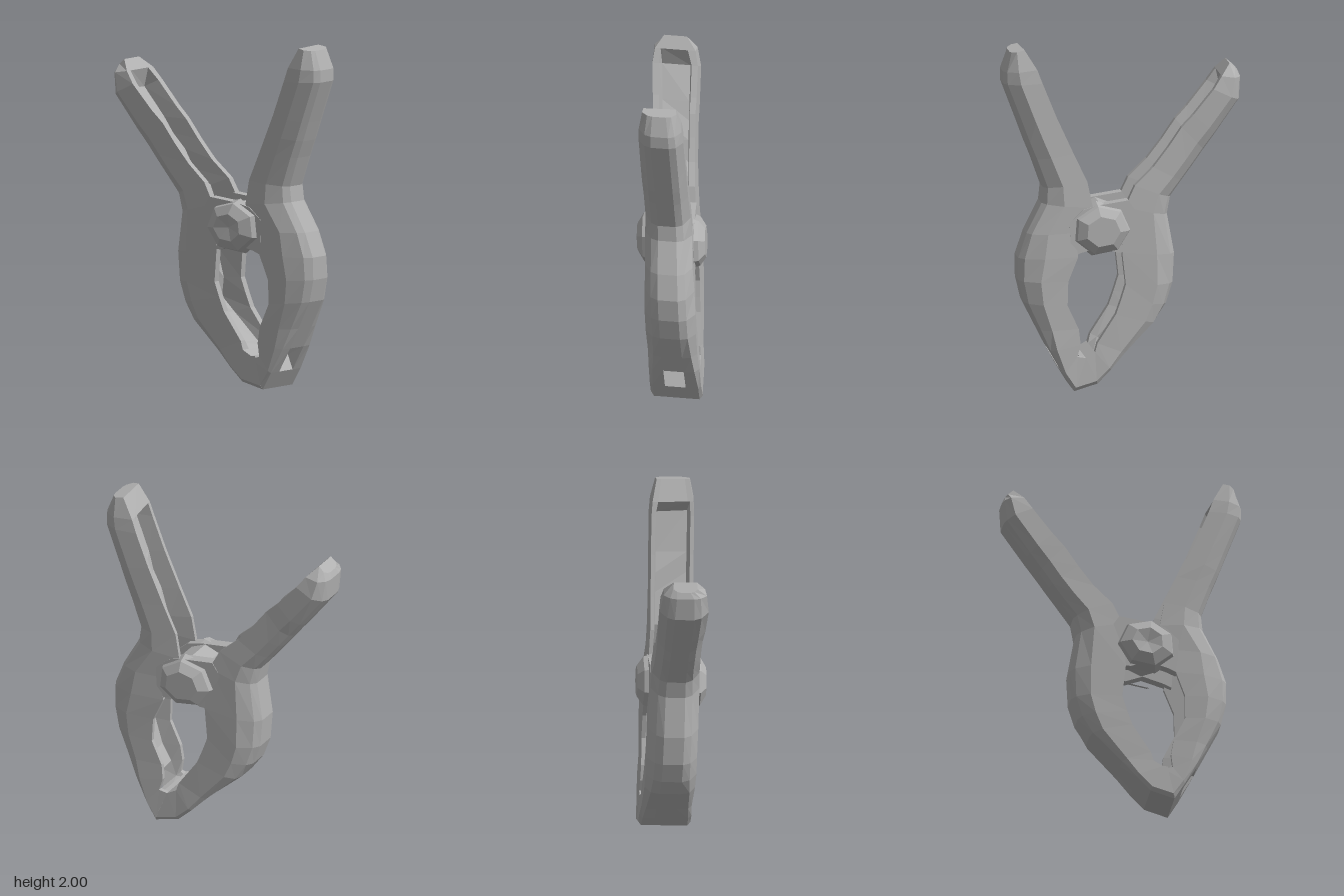
import * as THREE from 'three';

const grey = new THREE.MeshStandardMaterial({ color: 0xb0b0b0 });
grey.name = 'grey plastic';

// The whole clamp leans slightly: depth centre shifts with x and y.
const lean = (x, y) => -0.046 - 0.097 * x + 0.04 * y;

// Shears a geometry into the lean and gives it faceted normals.
function finish(geometry, name) {
  const g = geometry.index ? geometry.toNonIndexed() : geometry;
  const p = g.attributes.position;
  for (let i = 0; i < p.count; i++) p.setZ(i, p.getZ(i) + lean(p.getX(i), p.getY(i)));
  g.computeVertexNormals();
  const mesh = new THREE.Mesh(g, grey);
  mesh.name = name;
  return mesh;
}

// Seeded unevenness for the moulded faces and the channel floor.
let seed = 7;
const rough = () => ((seed = (seed * 16807) % 2147483647) / 2147483647 - 0.5);

// U-shaped section from the outer edge to the inner rim; floor = 1 closes the channel.
// The outer corners are rounded, turning square towards the jaw tip.
function section([ox, oy, ix, iy, w, floor], { edge, rim, lip }) {
  const square = THREE.MathUtils.clamp((0.5 - oy) / 0.4, 0, 1);
  const mix = (a, b) => a + (b - a) * square;
  const side = (front) => {
    const top = front ? lip : 1;
    const depth = floor < 1 ? floor + rough() * 0.2 : 1;
    return [[0, 0.4], [mix(0.09, 0), mix(0.7, 0.88)], [mix(edge, 0.12), 1 + rough() * 0.04],
      [top, 0.94], [top, rim], [top * depth, rim - 0.1]];
  };
  const loop = [...side(true), ...side(false).map(([u, v]) => [u, -v]).reverse()];
  return loop.map(([u, v]) => [ox + (ix - ox) * u, oy + (iy - oy) * u, v * w]);
}

// Lofts the stations from handle tip to jaw tip; holeAt cuts a slot through one segment.
function arm(stations, style, flip, name, holeAt = -1) {
  const rings = stations.map((s) => section(s, style));
  const n = rings[0].length;
  const pos = [];
  const tri = (a, b, c) => pos.push(...a, ...(flip ? c : b), ...(flip ? b : c));
  const quad = (a, b, c, d) => { tri(a, b, c); tri(a, c, d); };
  for (let s = 0; s < rings.length - 1; s++) {
    const [p, q] = [rings[s], rings[s + 1]];
    for (let k = 0; k < n; k++) {
      const m = (k + 1) % n;
      if (s === holeAt && (k === 5 || k === 11)) continue;
      quad(p[k], q[k], q[m], p[m]);
    }
    if (s === holeAt) {
      // slot walls between the outer face and the channel floor
      quad(p[0], p[5], q[5], q[0]);
      quad(p[11], q[11], q[6], p[6]);
      quad(p[0], p[11], p[6], p[5]);
      quad(q[0], q[5], q[6], q[11]);
    }
  }
  // end caps
  const [first, last] = [rings[0], rings[rings.length - 1]];
  for (let k = 1; k < n - 1; k++) {
    tri(first[0], first[k], first[k + 1]);
    tri(last[0], last[k + 1], last[k]);
  }
  const g = new THREE.BufferGeometry();
  g.setAttribute('position', new THREE.Float32BufferAttribute(pos, 3));
  return finish(g, name);
}

export function createModel() {
  const model = new THREE.Group();
  model.name = 'springClamp';

  // Stations: outer x, y, inner x, y, half width, channel floor
  model.add(arm([
    [-0.685, 1.785, -0.635, 1.83, 0.07, 1],
    [-0.70, 1.75, -0.58, 1.77, 0.125, 1],
    [-0.69, 1.62, -0.53, 1.70, 0.14, 0.5],
    [-0.55, 1.43, -0.41, 1.56, 0.135, 0.45],
    [-0.48, 1.34, -0.34, 1.49, 0.13, 0.45],
    [-0.42, 1.26, -0.26, 1.38, 0.13, 0.45],
    [-0.35, 1.17, -0.17, 1.27, 0.13, 0.45],
    [-0.28, 1.08, -0.06, 1.17, 0.135, 0.45],
    [-0.26, 0.98, 0.0, 1.05, 0.14, 0.5],
    [-0.30, 0.75, 0.02, 0.79, 0.145, 0.55],
    [-0.29, 0.58, 0.0, 0.60, 0.145, 0.55],
    [-0.25, 0.46, 0.03, 0.51, 0.145, 0.55],
    [-0.18, 0.36, 0.06, 0.43, 0.145, 0.6],
    [0.0, 0.20, 0.17, 0.27, 0.145, 0.7],
    [0.09, 0.11, 0.185, 0.22, 0.148, 1],
    [0.17, 0.035, 0.24, 0.19, 0.15, 1],
    [0.31, 0.0, 0.27, 0.19, 0.15, 1],
  ], { edge: 0.36, rim: 0.68, lip: 1 }, false, 'rightArm'));

  model.add(arm([
    [0.66, 1.98, 0.58, 1.995, 0.1, 1],
    [0.70, 1.87, 0.51, 1.88, 0.125, 1],
    [0.70, 1.80, 0.48, 1.80, 0.13, 0.5],
    [0.61, 1.56, 0.40, 1.60, 0.13, 0.45],
    [0.57, 1.45, 0.35, 1.49, 0.13, 0.45],
    [0.53, 1.35, 0.30, 1.38, 0.13, 0.45],
    [0.47, 1.18, 0.22, 1.21, 0.13, 0.45],
    [0.48, 1.09, 0.19, 1.06, 0.135, 0.5],
    [0.57, 0.92, 0.30, 0.92, 0.14, 0.5],
    [0.62, 0.78, 0.28, 0.78, 0.145, 0.55],
    [0.62, 0.65, 0.34, 0.64, 0.145, 0.55],
    [0.59, 0.52, 0.345, 0.50, 0.145, 0.55],
    [0.51, 0.36, 0.28, 0.36, 0.145, 0.6],
    [0.45, 0.24, 0.27, 0.27, 0.148, 0.6],
    [0.37, 0.10, 0.29, 0.20, 0.15, 0.7],
    [0.31, 0.0, 0.24, 0.19, 0.15, 1],
  ], { edge: 0.42, rim: 0.78, lip: 0.9 }, true, 'leftArm', 13));

  // Hinge plates joining the arms, front and back
  const plate = new THREE.Shape([[-0.04, 0.79], [0.05, 0.79], [0.15, 0.83], [0.27, 0.8], [0.32, 0.78],
    [0.33, 0.98], [0.25, 1.05], [0.17, 1.07], [-0.02, 1.09], [-0.08, 1.0],
  ].map(([x, y]) => new THREE.Vector2(x, y)));
  for (const [z, name] of [[0.075, 'frontHingePlate'], [-0.135, 'backHingePlate']]) {
    const g = new THREE.ExtrudeGeometry(plate, { depth: 0.06, bevelEnabled: false });
    model.add(finish(g.translate(0, 0, z), name));
  }

  // Pivot barrel between the plates
  const barrel = new THREE.CylinderGeometry(0.12, 0.12, 0.2, 8);
  model.add(finish(barrel.rotateX(Math.PI / 2).translate(0.14, 0.95, 0), 'pivotBarrel'));

  // Low pivot bosses: shallow dish in front, flat at the back
  const boss = (profile, name) => {
    const g = new THREE.LatheGeometry(profile.map(([r, z]) => new THREE.Vector2(r, z)), 7);
    g.rotateX(Math.PI / 2).rotateZ(0.3).scale(1.02, 0.9, 1).translate(0.14, 0.93, 0);
    model.add(finish(g, name));
  };
  boss([[0.18, 0.1], [0.155, 0.165], [0.09, 0.2], [0, 0.18]], 'frontPivotBoss');
  boss([[0, -0.195], [0.1, -0.195], [0.155, -0.16], [0.18, -0.1]], 'backPivotBoss');

  return model;
}
